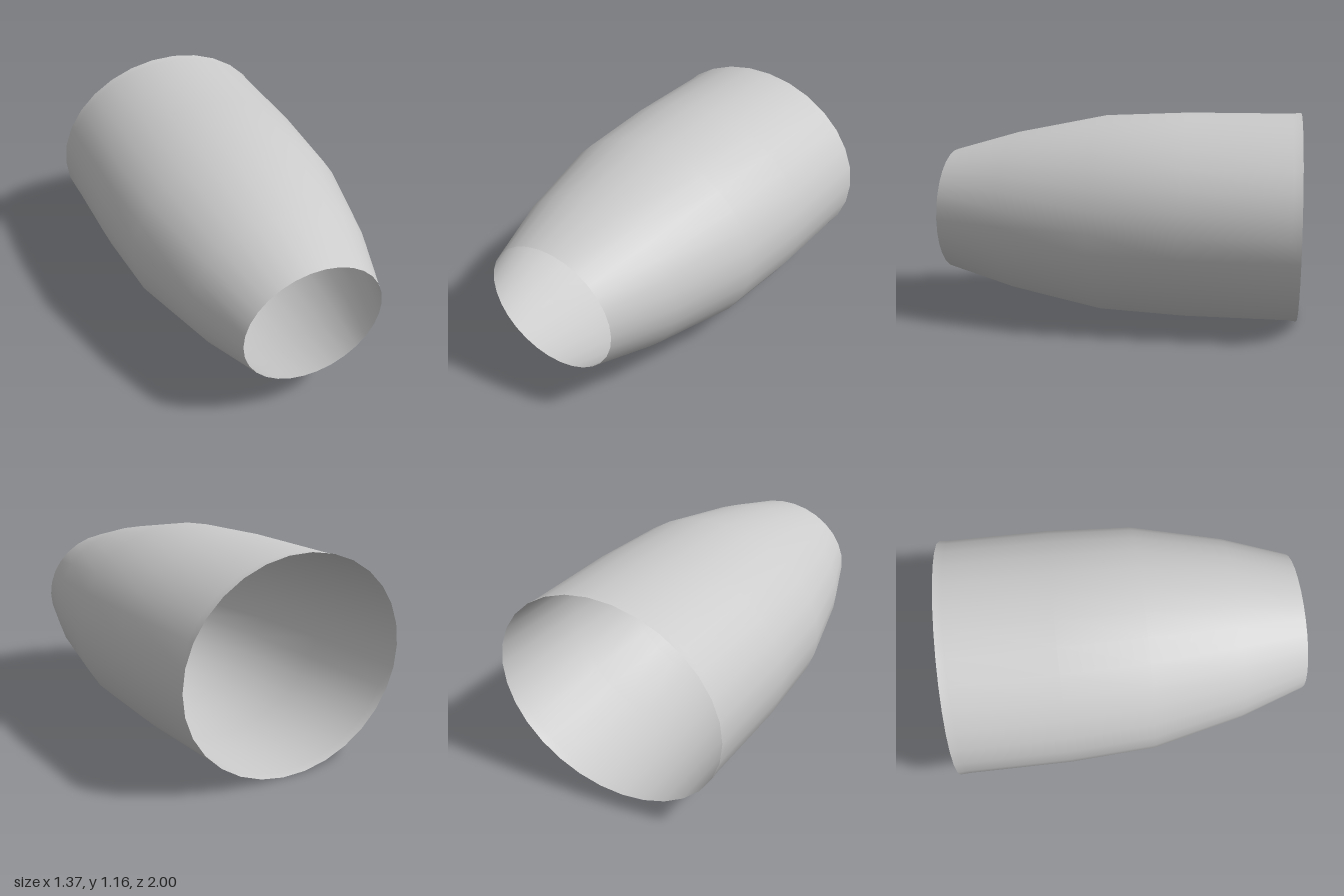
import * as THREE from 'three';
import { mergeVertices } from 'three/addons/utils/BufferGeometryUtils.js';

const SIDES = 30;
const CENTRE_Y = 0.583;

// Elliptical cross-sections from the narrow front to the wide back: [z, half width, half height]
const RINGS = [
  [1.0, 0.4, 0.348],
  [0.63, 0.53, 0.454],
  [0.11, 0.653, 0.558],
  [-0.37, 0.682, 0.579],
  [-0.95, 0.683, 0.58],
  [-1.0, 0.686, 0.585],
];

// Open tube whose rows of vertices are moved onto the cross-sections
function createShellGeometry() {
  const tube = new THREE.CylinderGeometry(1, 1, 2, SIDES, RINGS.length - 1, true, Math.PI / 2);
  tube.rotateX(Math.PI / 2);
  const pos = tube.attributes.position;
  for (let i = 0; i < pos.count; i++) {
    const [z, rx, ry] = RINGS[Math.floor(i / (SIDES + 1))];
    pos.setXYZ(i, pos.getX(i) * rx, CENTRE_Y + pos.getY(i) * ry, z);
  }
  // Weld the seam so shading is smooth all the way round
  tube.deleteAttribute('uv');
  tube.deleteAttribute('normal');
  const shell = mergeVertices(tube);
  shell.computeVertexNormals();
  return shell;
}

export function createModel() {
  const group = new THREE.Group();
  group.name = 'taperedSleeve';

  // Thin open shell, seen from inside and outside
  const material = new THREE.MeshStandardMaterial({ color: 0xcccccc, side: THREE.DoubleSide });
  const shell = new THREE.Mesh(createShellGeometry(), material);
  shell.name = 'shell';
  group.add(shell);

  return group;
}
